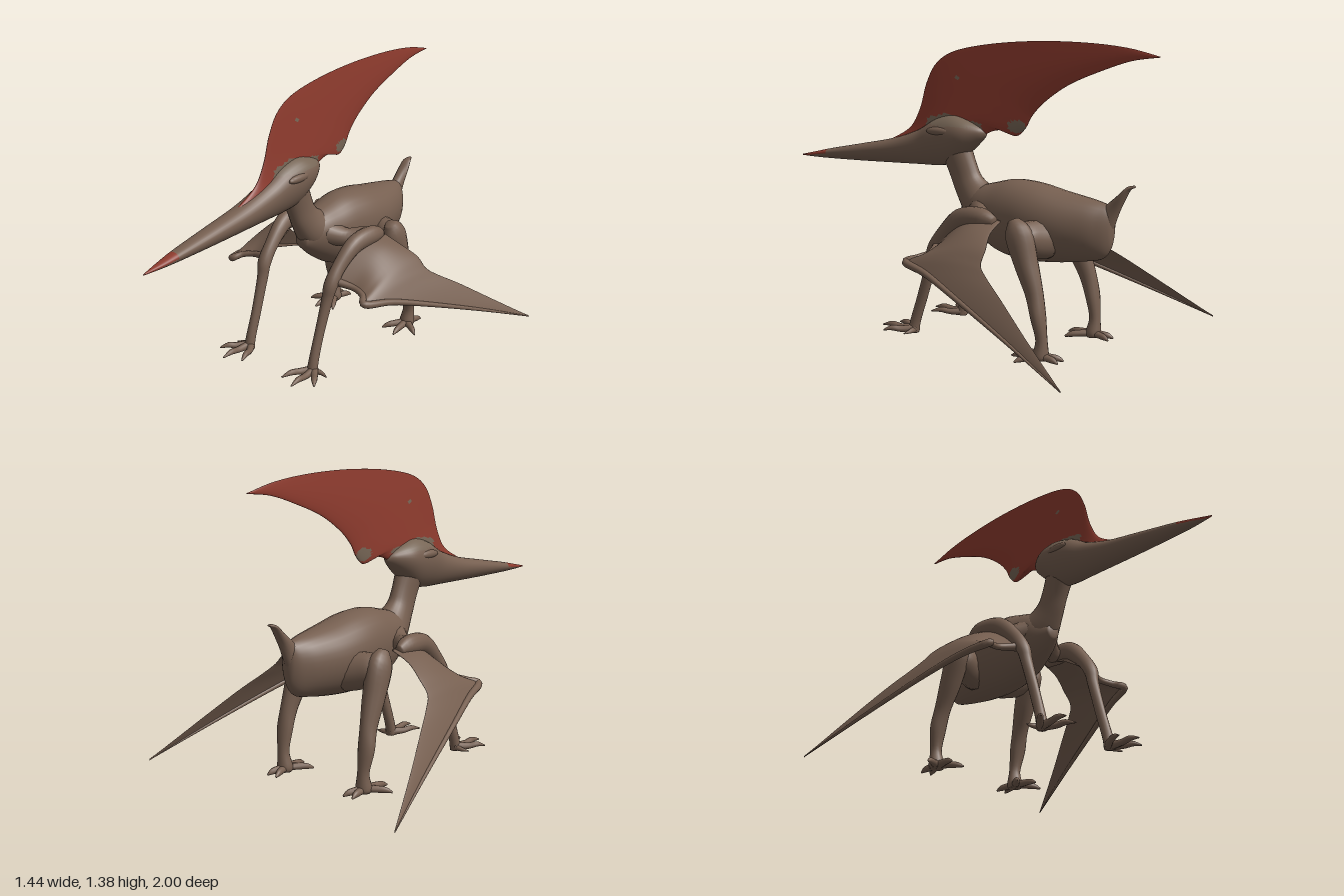
import * as THREE from 'three';

const hide = new THREE.MeshStandardMaterial({ color: 0x765f50 });
hide.name = 'brown hide';
const red = new THREE.MeshStandardMaterial({ color: 0x8e3b2e });
red.name = 'crest red';
const grey = new THREE.MeshStandardMaterial({ color: 0x776656 });
grey.name = 'grey brown';
const MATS = [hide, red, grey];
const V = (x, y, z) => new THREE.Vector3(x, y, z);

// Spline through rows of numbers, n steps per span
function smooth(rows, n) {
  const out = [], at = i => rows[Math.max(0, Math.min(rows.length - 1, i))];
  for (let i = 0; i < rows.length - 1; i++) {
    for (let k = 0; k < n; k++) {
      const t = k / n, [a, b, c, d] = [at(i - 1), at(i), at(i + 1), at(i + 2)];
      out.push(b.map((p, j) => p + 0.5 * t * (c[j] - a[j] + t * (2 * a[j] - 5 * p + 4 * c[j] - d[j] + t * (3 * (p - c[j]) + d[j] - a[j])))));
    }
  }
  out.push(rows[rows.length - 1]);
  return out;
}

// Closed skin over a list of rings; paint(x, y, z) picks a material index
function skin(name, rings, paint = () => 0) {
  const n = rings[0].length, pts = rings.flat(), tris = [];
  for (let i = 0; i < rings.length - 1; i++) for (let k = 0; k < n; k++) {
    const a = i * n + k, b = i * n + (k + 1) % n;
    tris.push([a, b, a + n], [b, b + n, a + n]);
  }
  [0, rings.length - 1].forEach(r => {
    const c = pts.length, mid = V(0, 0, 0);
    rings[r].forEach(p => mid.addScaledVector(p, 1 / n));
    pts.push(mid);
    for (let k = 0; k < n; k++) {
      const a = r * n + k, b = r * n + (k + 1) % n;
      tris.push(r ? [a, b, c] : [b, a, c]);
    }
  });
  // Turn the faces outward
  let vol = 0;
  const cross = V(0, 0, 0);
  tris.forEach(([a, b, c]) => { vol += cross.crossVectors(pts[b], pts[c]).dot(pts[a]); });
  if (vol < 0) tris.forEach(t => t.reverse());
  // Sort the faces by colour
  const sets = MATS.map(() => []);
  tris.forEach(t => {
    const m = V(0, 0, 0);
    t.forEach(i => m.addScaledVector(pts[i], 1 / 3));
    sets[paint(m.x, m.y, m.z)].push(...t);
  });
  const g = new THREE.BufferGeometry().setFromPoints(pts);
  g.setIndex(sets.flat());
  let start = 0;
  sets.forEach((s, i) => { if (s.length) g.addGroup(start, s.length, i); start += s.length; });
  g.computeVertexNormals();
  const single = sets[0].length === tris.length * 3;
  if (single) g.clearGroups();
  const mesh = new THREE.Mesh(g, single ? hide : MATS);
  mesh.name = name;
  return mesh;
}

const angles = n => Array.from({ length: n }, (_, k) => k / n * Math.PI * 2);

// Limb along a path; rows are x, y, z, radius across, radius fore and aft
function limb(name, rows, s = 1, ref = V(1, 0, 0), n = 14) {
  const path = smooth(rows, 5), P = path.map(r => V(r[0] * s, r[1], r[2]));
  return skin(name, path.map((r, i) => {
    const T = P[Math.min(i + 1, P.length - 1)].clone().sub(P[Math.max(i - 1, 0)]).normalize();
    const A = ref.clone().addScaledVector(T, -T.dot(ref)).normalize(), B = T.clone().cross(A);
    return angles(n).map(a => P[i].clone().addScaledVector(A, r[3] * Math.cos(a)).addScaledVector(B, r[4] * Math.sin(a)));
  }));
}

// Hull along z; rows are z, top, bottom, half width; egg widens the upper half
function hull(name, rows, egg, paint) {
  return skin(name, smooth(rows, 6).map(([z, top, bot, w]) => angles(32).map(a => {
    const u = Math.sin(a);
    return V(w * Math.cos(a) * (1 + egg * u), (top + bot) / 2 + u * (top - bot) / 2, z);
  })), paint);
}

// Thin blade between a front and a rear edge; rows are both edge points, offset moves the surface
function blade(name, rows, offset, paint, n = 40) {
  return skin(name, smooth(rows, 6).map(r => angles(n).map(a => {
    const t = (1 - Math.cos(a)) / 2;
    const p = V(r[0], r[1], r[2]).lerp(V(r[3], r[4], r[5]), t);
    return offset(p, Math.sin(a), t, r[6]);
  })), paint);
}

export function createModel() {
  const model = new THREE.Group();
  model.name = 'flyingReptile';

  // Torso, neck and tail
  model.add(hull('body', [
    [-0.01, 0.62, 0.56, 0.03], [-0.09, 0.70, 0.49, 0.085], [-0.2, 0.735, 0.42, 0.118], [-0.3, 0.755, 0.395, 0.135],
    [-0.42, 0.748, 0.39, 0.145], [-0.55, 0.722, 0.40, 0.135], [-0.68, 0.70, 0.42, 0.10],
    [-0.75, 0.685, 0.44, 0.065], [-0.785, 0.67, 0.49, 0.035], [-0.795, 0.62, 0.56, 0.01],
  ], 0.1));
  model.add(limb('neck', [
    [0, 0.90, 0.05, 0.06, 0.08], [0, 0.78, 0.0, 0.05, 0.075], [0, 0.70, -0.04, 0.058, 0.078],
    [0, 0.625, -0.11, 0.085, 0.1], [0, 0.58, -0.2, 0.1, 0.12],
  ], 1, V(1, 0, 0), 24));
  model.add(limb('tail', [
    [0, 0.59, -0.74, 0.04, 0.06], [0, 0.66, -0.79, 0.03, 0.035], [0, 0.72, -0.835, 0.028, 0.018],
    [0, 0.758, -0.865, 0.022, 0.01], [0, 0.77, -0.895, 0.008, 0.005],
  ]));

  // Head with long beak and coloured tip
  model.add(hull('head', [
    [1.0, 0.778, 0.772, 0.002], [0.9, 0.80, 0.77, 0.021], [0.8, 0.822, 0.77, 0.033], [0.6, 0.86, 0.773, 0.046],
    [0.4, 0.9, 0.778, 0.056], [0.25, 0.95, 0.782, 0.066], [0.15, 1.005, 0.785, 0.08], [0.05, 1.03, 0.80, 0.086],
    [-0.03, 1.015, 0.85, 0.078], [-0.1, 0.985, 0.91, 0.04], [-0.13, 0.96, 0.94, 0.006],
  ], 0.18, (x, y, z) => z > 0.82 && y > 0.768 + (1 - z) * 0.16 ? 1 : (y > 0.98 ? 2 : 0)));

  // Sail-like crest sweeping back from the crown
  const crestPaint = (x, y, z) => {
    const patch = Math.hypot((z + 0.3) / 0.045, (y - 0.995) / 0.03) < 1;
    const dot = Math.hypot(z - 0.03, y - 1.205) < 0.012;
    const crown = z > -0.115 && z < 0.2 && y < 1.035 - 0.2 * Math.abs(z - 0.08);
    return patch || dot || crown ? 2 : 1;
  };
  model.add(blade('crest', [
    [0, 0.89, 0.43, 0, 0.89, -0.05], [0, 0.955, 0.31, 0, 0.95, -0.13], [0, 1.05, 0.25, 0, 0.972, -0.21],
    [0, 1.17, 0.212, 0, 0.95, -0.29], [0, 1.265, 0.155, 0, 0.985, -0.34], [0, 1.325, 0.05, 0, 1.05, -0.38],
    [0, 1.362, -0.15, 0, 1.118, -0.45], [0, 1.38, -0.4, 0, 1.195, -0.57], [0, 1.378, -0.65, 0, 1.26, -0.73],
    [0, 1.36, -0.85, 0, 1.305, -0.87], [0, 1.327, -1.0, 0, 1.323, -1.0],
  ], (p, u) => V(u * (0.002 + 0.055 * Math.max(0, 1.38 - p.y)), p.y, p.z), crestPaint, 64));

  for (const s of [1, -1]) {
    const side = new THREE.Group();
    side.name = s > 0 ? 'leftSide' : 'rightSide';
    model.add(side);

    // Brow ridge
    const brow = new THREE.Mesh(new THREE.SphereGeometry(1, 16, 10), hide);
    brow.name = 'brow';
    brow.scale.set(0.018, 0.02, 0.07);
    brow.position.set(s * 0.074, 0.955, 0.09);
    side.add(brow);

    // Front limb: shoulder to elbow, then elbow to foot
    side.add(limb('upperArm', [
      [0.05, 0.61, -0.15, 0.07, 0.06], [0.13, 0.59, -0.19, 0.045, 0.045],
      [0.19, 0.60, -0.24, 0.042, 0.04], [0.225, 0.605, -0.28, 0.03, 0.03],
    ], s, V(0, 0, 1)));
    side.add(limb('forearm', [
      [0.235, 0.59, -0.33, 0.02, 0.025], [0.23, 0.605, -0.26, 0.042, 0.045], [0.218, 0.59, -0.14, 0.04, 0.045],
      [0.208, 0.51, -0.04, 0.033, 0.035], [0.205, 0.435, 0.018, 0.034, 0.032], [0.2, 0.36, 0.04, 0.027, 0.027],
      [0.196, 0.2, 0.092, 0.022, 0.026], [0.197, 0.08, 0.132, 0.024, 0.025], [0.198, 0.02, 0.145, 0.028, 0.025],
    ], s));
    [[0.245, 0.185, 0.295, 0.25], [0.208, 0.21, 0.213, 0.315], [0.16, 0.185, 0.125, 0.28]].forEach(([mx, mz, tx, tz]) =>
      side.add(limb('frontToe', [
        [0.2, 0.035, 0.13, 0.022, 0.02], [mx, 0.034, mz, 0.015, 0.016],
        [(mx + tx) / 2, 0.04, (mz + tz) / 2, 0.013, 0.014], [tx, 0.03, tz, 0.003, 0.004],
      ], s, V(0, 1, 0), 10)));
    side.add(limb('frontSpur', [
      [0.2, 0.03, 0.14, 0.016, 0.018], [0.24, 0.03, 0.13, 0.011, 0.011], [0.28, 0.025, 0.14, 0.003, 0.003],
    ], s, V(0, 1, 0), 10));

    // Folded wing: membrane and the long finger along its front edge
    const edges = [
      [0.2, 0.45, 0.0, 0.21, 0.595, -0.35, 0.05], [0.30, 0.432, -0.03, 0.31, 0.555, -0.36, 0.045],
      [0.37, 0.42, -0.01, 0.40, 0.5, -0.395, 0.03], [0.412, 0.40, 0.025, 0.45, 0.445, -0.405, 0.02],
      [0.462, 0.375, -0.12, 0.485, 0.4, -0.46, 0.01], [0.53, 0.305, -0.33, 0.54, 0.33, -0.57, 0.004],
      [0.625, 0.185, -0.65, 0.625, 0.205, -0.75, 0.002], [0.718, 0.06, -0.958, 0.716, 0.062, -0.958, 0],
    ];
    side.add(blade('wingMembrane', edges, (p, u, t, bulge) =>
      V(p.x * s, p.y + bulge * Math.sin(Math.PI * t) + u * (0.004 + bulge * 0.2), p.z)));
    side.add(limb('wingFinger', edges.map((e, i) => {
      const r = [0.022, 0.015, 0.015, 0.018, 0.015, 0.012, 0.008, 0.002][i];
      return [e[0], e[1], e[2], r, r];
    }), s, V(0, 1, 0)));

    // Hind limb: thigh, shin and foot
    side.add(limb('thigh', [
      [0.07, 0.51, -0.5, 0.08, 0.09], [0.14, 0.52, -0.48, 0.07, 0.085],
      [0.2, 0.53, -0.46, 0.065, 0.07], [0.25, 0.53, -0.45, 0.04, 0.045], [0.27, 0.53, -0.45, 0.01, 0.01],
    ], s, V(0, 0, 1)));
    side.add(limb('shin', [
      [0.22, 0.61, -0.42, 0.025, 0.025], [0.225, 0.55, -0.45, 0.05, 0.065], [0.228, 0.42, -0.495, 0.05, 0.055],
      [0.236, 0.3, -0.54, 0.038, 0.042], [0.242, 0.2, -0.565, 0.04, 0.033],
      [0.238, 0.1, -0.58, 0.028, 0.026], [0.235, 0.03, -0.575, 0.038, 0.036], [0.235, 0.008, -0.575, 0.03, 0.03],
    ], s));
    [[0.2, -0.67], [0.252, -0.67], [0.335, -0.5], [0.25, -0.435], [0.16, -0.465]].forEach(([tx, tz]) => {
      const mix = k => [0.235 + (tx - 0.235) * k, -0.57 + (tz + 0.57) * k];
      const [ax, az] = mix(0.4), [bx, bz] = mix(0.75);
      side.add(limb('hindToe', [
        [0.235, 0.025, -0.57, 0.018, 0.022], [ax, 0.024, az, 0.016, 0.018],
        [bx, 0.02, bz, 0.014, 0.013], [tx, 0.01, tz, 0.004, 0.004],
      ], s, V(0, 1, 0), 10));
    });
  }
  return model;
}
